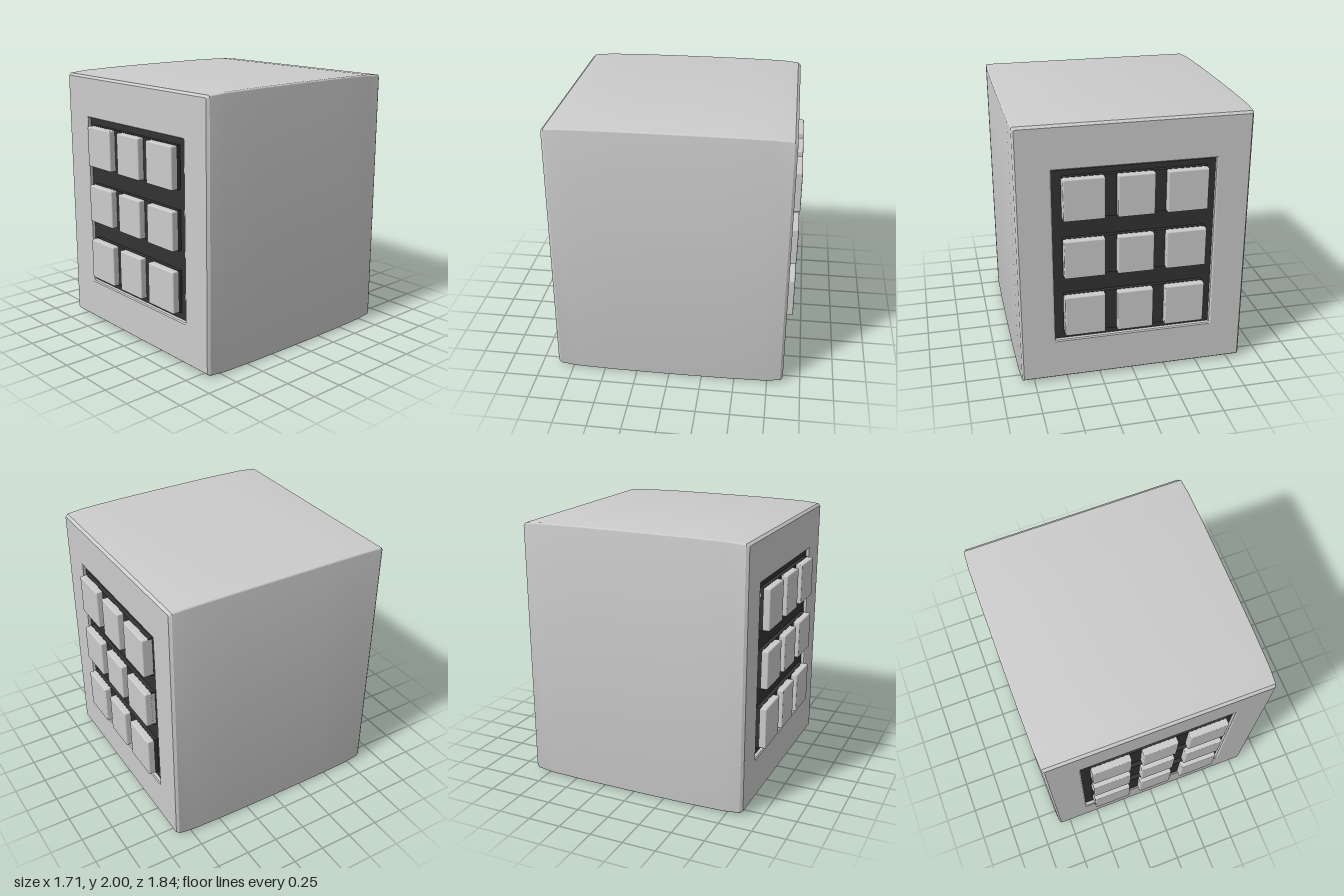
import * as THREE from 'three';
import { toCreasedNormals } from 'three/addons/utils/BufferGeometryUtils.js';
import { RoundedBoxGeometry } from 'three/addons/geometries/RoundedBoxGeometry.js';

const grey = new THREE.MeshStandardMaterial({ color: 0xcccccc });
const dark = new THREE.MeshStandardMaterial({ color: 0x333333 });

// Rounded rectangle ring around the z axis: half width, half height, z, corner radius
function ring([w, h, z, r]) {
  const points = [];
  const steps = 4;
  [[1, 1], [-1, 1], [-1, -1], [1, -1]].forEach(([sx, sy], q) => {
    for (let i = 0; i <= steps; i++) {
      const a = (q + i / steps) * Math.PI / 2;
      points.push([sx * (w - r) + r * Math.cos(a), sy * (h - r) + r * Math.sin(a), z]);
    }
  });
  return points;
}

// Skin joining consecutive rings
function loft(sections) {
  const rings = sections.map(ring);
  const n = rings[0].length;
  const index = [];
  for (let s = 0; s < rings.length - 1; s++) {
    for (let i = 0; i < n; i++) {
      const a = s * n + i, b = s * n + (i + 1) % n;
      index.push(a, b, b + n, a, b + n, a + n);
    }
  }
  const geo = new THREE.BufferGeometry();
  geo.setAttribute('position', new THREE.Float32BufferAttribute(rings.flat(2), 3));
  geo.setIndex(index);
  return toCreasedNormals(geo, 0.35);
}

function add(parent, name, geo, material, x = 0, y = 0, z = 0) {
  const mesh = new THREE.Mesh(geo, material);
  mesh.name = name;
  mesh.position.set(x, y, z);
  parent.add(mesh);
  return mesh;
}

// Recessed dark panel with three rows of three keys
function makeKeypad() {
  const pad = new THREE.Group();
  pad.name = 'keypad';
  add(pad, 'panel', new THREE.BoxGeometry(1.18, 1.335, 0.02), dark, 0, 0.005, 0.83);
  const columns = [[-0.37, 0.295], [0, 0.265], [0.37, 0.295]];
  const rows = [[-0.447, 0.315], [0.005, 0.29], [0.455, 0.31]];
  for (const [y, h] of rows) {
    add(pad, 'keyRowBacking', new THREE.BoxGeometry(1.035, h + 0.005, 0.04), dark, 0, y, 0.85);
    for (const [x, w] of columns) {
      add(pad, 'key', new RoundedBoxGeometry(w, h, 0.09, 2, 0.01), grey, x, y, 0.875);
    }
  }
  return pad;
}

export function createModel() {
  const model = new THREE.Group();
  const core = new THREE.Group();
  core.name = 'block';
  core.position.y = 1;
  model.add(core);

  // Body half: recess floor edge, rim, chamfer, gently bulging sides
  const half = [
    [0.585, 0.66, 0.835, 0.005],
    [0.587, 0.663, 0.862, 0.005],
    [0.598, 0.672, 0.87, 0.008],
    [0.828, 0.968, 0.87, 0.012],
    [0.842, 0.984, 0.85, 0.014],
    [0.85, 0.994, 0.72, 0.014],
    [0.854, 0.999, 0.42, 0.014],
    [0.855, 1, 0.1, 0.014],
  ];
  const back = half.map(([w, h, z, r]) => [w, h, -z, r]);
  add(core, 'body', loft([...back, ...half.slice().reverse()]), grey);

  // Same keypad on the front and the back
  for (const turn of [0, Math.PI]) {
    const pad = makeKeypad();
    pad.rotation.y = turn;
    core.add(pad);
  }
  return model;
}
